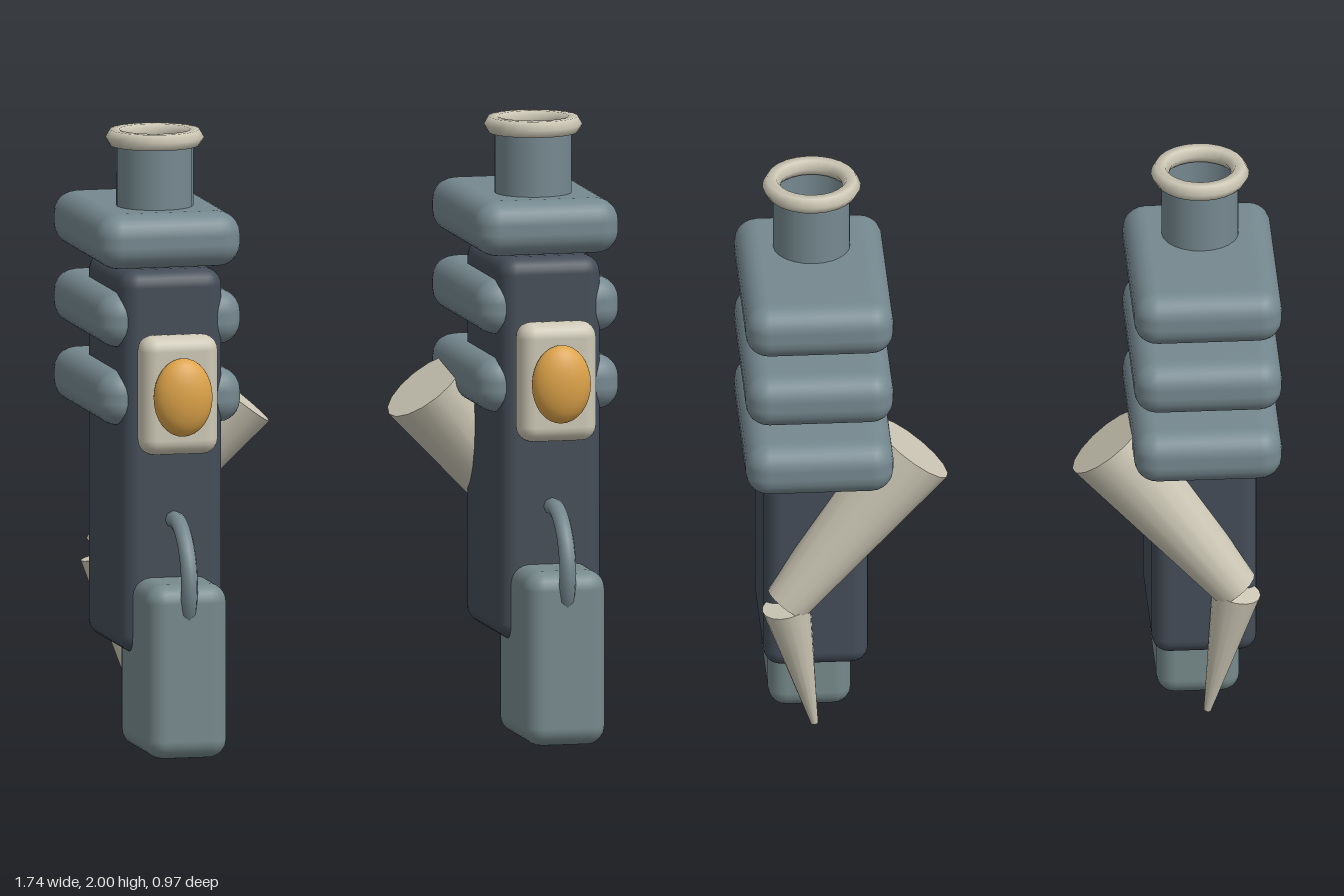
import * as THREE from 'three';
import { RoundedBoxGeometry } from 'three/addons/geometries/RoundedBoxGeometry.js';

const mat = (name, color, side = THREE.FrontSide) => {
  const m = new THREE.MeshStandardMaterial({ color, side });
  m.name = name;
  return m;
};

export function createModel() {
  const steel = mat('blueGreySteel', 0x768990, THREE.DoubleSide);
  const boxGrey = mat('greenGreyBox', 0x778a8c);
  const dark = mat('darkSlate', 0x444d58);
  const bone = mat('bone', 0xcdc8b6);
  const amber = mat('amber', 0xdda349);

  const add = (parent, name, geo, material, x, y, z) => {
    const m = new THREE.Mesh(geo, material);
    m.name = name;
    m.position.set(x, y, z);
    parent.add(m);
    return m;
  };
  const block = (w, h, d, r) => new RoundedBoxGeometry(w, h, d, 3, r);

  // tapered limb piece running between two points
  const limb = (parent, name, from, to, r0, r1) => {
    const a = new THREE.Vector3(...from), b = new THREE.Vector3(...to);
    const dir = b.clone().sub(a);
    const mid = a.clone().add(b).multiplyScalar(0.5);
    const m = add(parent, name, new THREE.CylinderGeometry(r1, r0, dir.length(), 16), bone, mid.x, mid.y, mid.z);
    m.quaternion.setFromUnitVectors(new THREE.Vector3(0, 1, 0), dir.normalize());
  };

  const model = new THREE.Group();
  model.name = 'pairedPods';

  for (const s of [1, -1]) {
    const pod = new THREE.Group();
    pod.name = s > 0 ? 'leftPod' : 'rightPod';
    pod.position.x = 0.63 * s;
    model.add(pod);

    // main column
    add(pod, 'body', block(0.34, 1.25, 0.51, 0.055), dark, 0, 0.945, -0.015);

    // stacked plates wrapping the back
    for (const y of [1.66, 1.405, 1.15])
      add(pod, 'plate', block(0.48, 0.18, 0.71, 0.075), steel, 0, y, -0.127);

    // open pipe with a faceted rim
    add(pod, 'pipe', new THREE.CylinderGeometry(0.125, 0.125, 0.24, 24, 1, true), steel, 0, 1.85, -0.018);
    const rim = add(pod, 'pipeRim', new THREE.TorusGeometry(0.13, 0.03, 6, 24), bone, 0, 1.973, -0.018);
    rim.rotation.x = Math.PI / 2;

    // front lamp
    add(pod, 'lampHousing', block(0.26, 0.39, 0.115, 0.05), bone, 0, 1.175, 0.293);
    const lens = add(pod, 'lampLens', new THREE.SphereGeometry(1, 24, 16), amber, 0, 1.175, 0.37);
    lens.scale.set(0.098, 0.128, 0.057);

    // lower box and its loop handle
    add(pod, 'lowerBox', block(0.27, 0.57, 0.425, 0.06), boxGrey, 0, 0.285, 0.243);
    const handle = add(pod, 'handle', new THREE.TorusGeometry(0.193, 0.028, 8, 36), steel, 0, 0.568, 0.265);
    handle.rotation.y = Math.PI / 2;

    // bent rear limb ending in a spike
    limb(pod, 'upperLimb', [-0.31 * s, 1.1, -0.22], [0.1 * s, 0.58, -0.295], 0.15, 0.075);
    limb(pod, 'spike', [0.1 * s, 0.57, -0.292], [0.007 * s, 0.12, -0.27], 0.08, 0.012);
  }
  return model;
}
